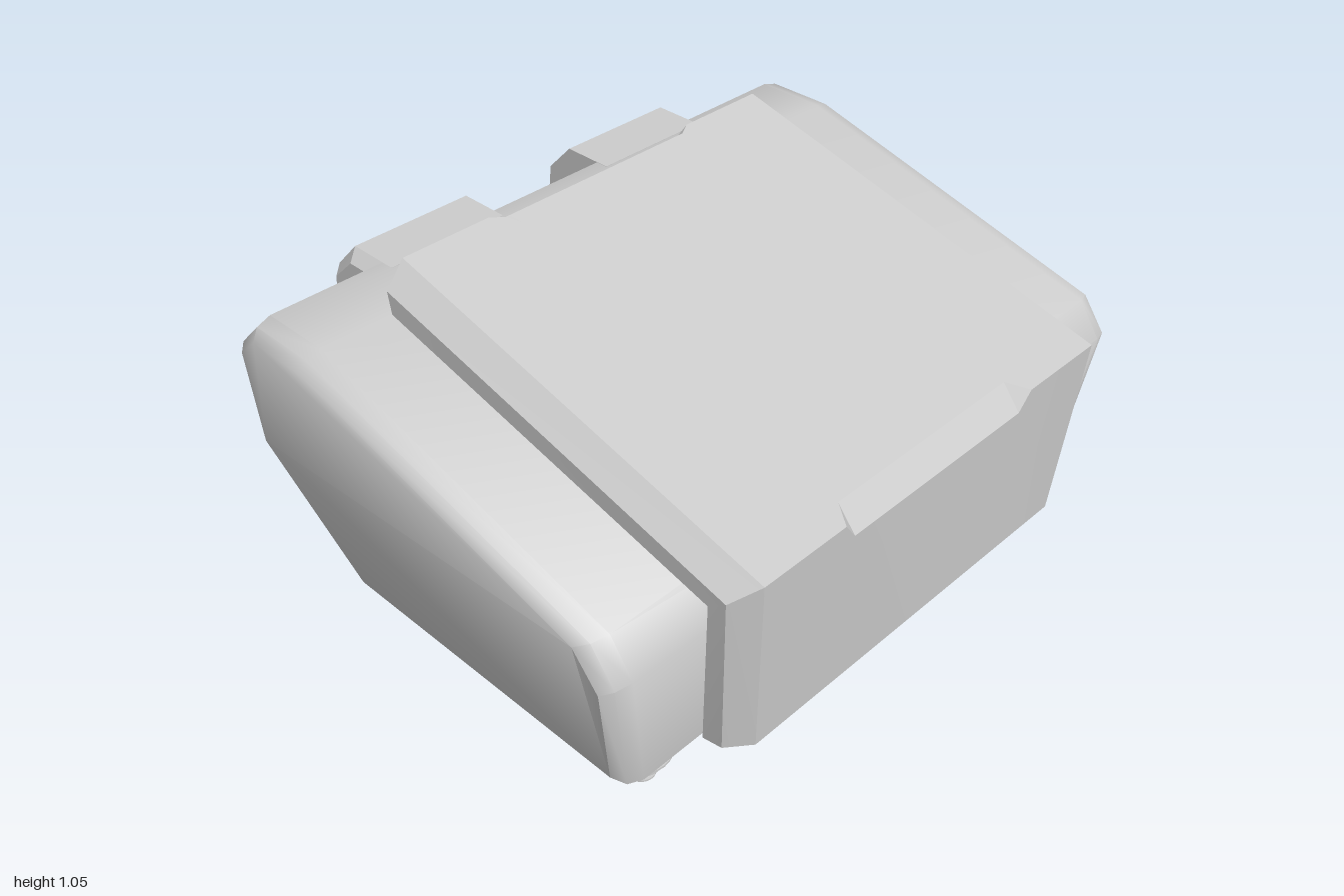
import * as THREE from 'three';
import { toCreasedNormals } from 'three/addons/utils/BufferGeometryUtils.js';

const material = new THREE.MeshStandardMaterial({ color: 0xcccccc });

// Skins [z, y] profiles placed at rising x and caps both ends; taper(y) narrows the width
function loft(rings, crease, taper = () => 1) {
  const n = rings[0].pts.length;
  const pos = [];
  const idx = [];
  for (const { x, pts } of rings) {
    for (const [z, y] of pts) pos.push(x * taper(y), y, z);
  }
  for (let i = 0; i < rings.length - 1; i++) {
    for (let j = 0; j < n; j++) {
      const k = (j + 1) % n;
      const a = i * n + j, b = i * n + k, c = b + n, d = a + n;
      idx.push(a, b, c, a, c, d);
    }
  }
  const cap = (ring) => THREE.ShapeUtils.triangulateShape(
    ring.pts.map(([z, y]) => new THREE.Vector2(-z, y)), []);
  const last = (rings.length - 1) * n;
  for (const [a, b, c] of cap(rings[0])) idx.push(a, c, b);
  for (const [a, b, c] of cap(rings[rings.length - 1])) idx.push(last + a, last + b, last + c);
  const geometry = new THREE.BufferGeometry();
  geometry.setAttribute('position', new THREE.Float32BufferAttribute(pos, 3));
  geometry.setIndex(idx);
  return toCreasedNormals(geometry, crease);
}

const mirrored = (rings) => rings.map(({ x, pts }) => ({ x: -x, pts })).reverse();
const blend = (p, q, t) => p.map(([z, y], i) => [z + (q[i][0] - z) * t, y + (q[i][1] - y) * t]);

function addMesh(parent, geometry, name) {
  const mesh = new THREE.Mesh(geometry, material);
  mesh.name = name;
  parent.add(mesh);
  return mesh;
}

// Wedge-shaped case with rounded side edges and a tapered lower half
function bodyGeometry() {
  const outer = [[0.67, 0.145], [-0.355, 0.145], [-0.64, 0.55], [-0.68, 0.83],
    [-0.59, 0.92], [-0.37, 0.92], [0.64, 0.65], [0.71, 0.55]];
  const inner = [[0.63, 0.18], [-0.335, 0.18], [-0.605, 0.55], [-0.64, 0.815],
    [-0.57, 0.88], [-0.38, 0.88], [0.59, 0.625], [0.67, 0.53]];
  const half = [
    { x: 0.93, pts: outer },
    { x: 0.975, pts: blend(outer, inner, 0.3) },
    { x: 1, pts: inner },
  ];
  const taper = (y) => 1 - Math.max(0, 0.52 - y) * 0.176;
  return loft([...mirrored(half), ...half], 0.8, taper);
}

// Bent cover over slope and front, with finger notches cut in its front and back edges
function lidGeometry() {
  const profile = (bottom, backLow, backHigh, frontHigh, frontLow) => [
    bottom, [0.68, 0.145], [0.73, 0.645], [-0.37, 0.92], backLow, backHigh, frontHigh, frontLow];
  const back = [-0.39, 1.05];
  const front = [0.84, 0.73];
  const full = profile([0.8, 0.165], back, back, front, front);
  const notch = profile([0.8, 0.165], [-0.387, 1.03], [-0.37, 1.043], [0.78, 0.745], [0.836, 0.675]);
  const edge = profile([0.745, 0.16], [-0.38, 0.985], [-0.38, 0.985], [0.785, 0.685], [0.785, 0.685]);
  const half = [
    { x: 0.33, pts: notch },
    { x: 0.37, pts: full },
    { x: 0.65, pts: full },
    { x: 0.715, pts: edge },
  ];
  const taper = (y) => 1 - Math.max(0, 0.62 - y) * 0.11;
  return loft([...mirrored(half), ...half], 0.6, taper);
}

// Rear block with a sloped top edge and a chamfered outer corner
function hingeRings() {
  const full = [[-0.55, 0.545], [-0.84, 0.545], [-0.8, 0.83], [-0.71, 0.921], [-0.55, 0.921]];
  const inset = [[-0.55, 0.545], [-0.805, 0.545], [-0.77, 0.815], [-0.69, 0.89], [-0.55, 0.89]];
  return [{ x: 0.197, pts: full }, { x: 0.58, pts: full }, { x: 0.615, pts: inset }];
}

// Tapered spike with a ball tip and thin ring fins
function makeFoot() {
  const foot = new THREE.Group();
  const spike = [[0.0001, 0], [0.014, 0.005], [0.02, 0.018], [0.014, 0.032], [0.02, 0.055],
    [0.028, 0.09], [0.038, 0.115], [0.05, 0.125], [0.055, 0.15]];
  addMesh(foot, toCreasedNormals(new THREE.LatheGeometry(
    spike.map(([r, y]) => new THREE.Vector2(r, y)), 20), 0.8), 'footSpike');
  for (const [r, y, h] of [[0.082, 0.141, 0.012], [0.082, 0.11, 0.006], [0.056, 0.071, 0.006], [0.038, 0.032, 0.005]]) {
    addMesh(foot, new THREE.CylinderGeometry(r, r, h, 24), 'footFin').position.y = y;
  }
  return foot;
}

export function createModel() {
  const model = new THREE.Group();
  model.name = 'wedgeCase';
  addMesh(model, bodyGeometry(), 'body');
  addMesh(model, lidGeometry(), 'lid');
  addMesh(model, loft(hingeRings(), 0.4), 'leftHinge');
  addMesh(model, loft(mirrored(hingeRings()), 0.4), 'rightHinge');

  // Four feet under the corners
  for (const [x, side] of [[0.77, 'Left'], [-0.785, 'Right']]) {
    for (const [z, end] of [[0.573, 'front'], [-0.205, 'back']]) {
      const foot = makeFoot();
      foot.name = `${end}${side}Foot`;
      foot.position.set(x, 0, z);
      model.add(foot);
    }
  }
  return model;
}
